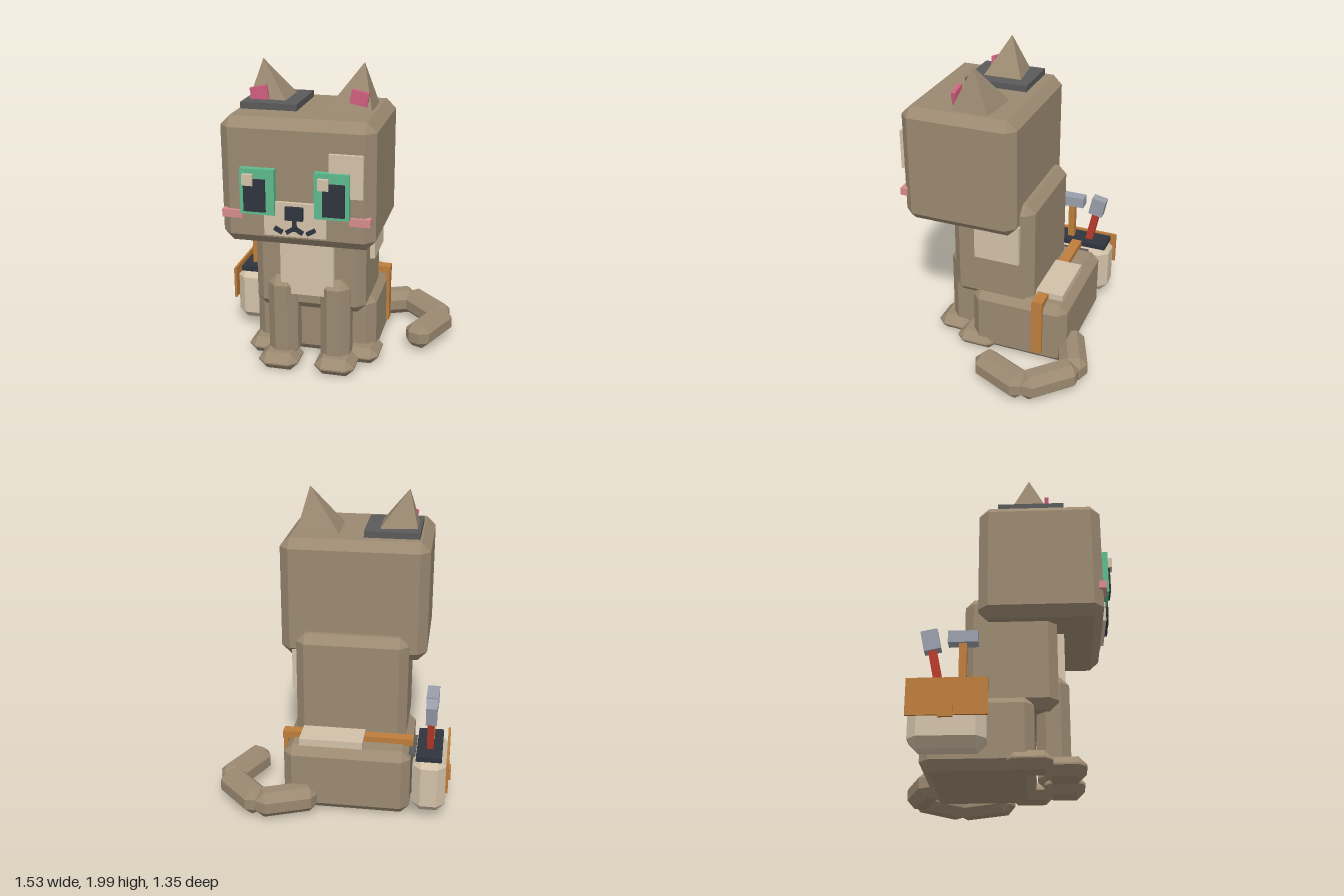
import * as THREE from 'three';
import { ConvexGeometry } from 'three/addons/geometries/ConvexGeometry.js';

const mat = (name, color) => {
  const m = new THREE.MeshStandardMaterial({ color, flatShading: true });
  m.name = name;
  return m;
};

export function createModel() {
  const model = new THREE.Group();
  model.name = 'cat';
  const fur = mat('fur', 0x9b8971), cream = mat('cream', 0xd2c1a8), green = mat('eye green', 0x5dba8c);
  const dark = mat('dark', 0x2f343e), earPink = mat('ear pink', 0xd0607e), blush = mat('blush', 0xd68c8a);
  const grey = mat('dark grey', 0x5b5a5a), leather = mat('leather', 0xbd7d3c);
  const steel = mat('steel', 0x9a9fab), red = mat('red', 0xb93a2a);
  const MID = -0.105; // mirror plane of the cat's body
  const flip = (x) => 2 * MID - x;

  function add(name, geometry, material, x = 0, y = 0, z = 0) {
    const mesh = new THREE.Mesh(geometry, material);
    mesh.name = name;
    mesh.position.set(x, y, z);
    model.add(mesh);
    return mesh;
  }
  // plain box from its limits
  const box = (name, m, [x0, x1], [y0, y1], [z0, z1]) =>
    add(name, new THREE.BoxGeometry(Math.abs(x1 - x0), y1 - y0, z1 - z0), m, (x0 + x1) / 2, (y0 + y1) / 2, (z0 + z1) / 2);
  // box with all edges and corners cut off
  function chamferGeometry(w, h, d, c) {
    const points = [];
    for (const sx of [-1, 1]) for (const sy of [-1, 1]) for (const sz of [-1, 1]) {
      const x = w / 2, y = h / 2, z = d / 2;
      points.push(new THREE.Vector3(sx * x, sy * (y - c), sz * (z - c)),
        new THREE.Vector3(sx * (x - c), sy * y, sz * (z - c)),
        new THREE.Vector3(sx * (x - c), sy * (y - c), sz * z));
    }
    return new ConvexGeometry(points);
  }
  const block = (name, m, [x0, x1], [y0, y1], [z0, z1], c = 0.055) =>
    add(name, chamferGeometry(Math.abs(x1 - x0), y1 - y0, z1 - z0, c), m, (x0 + x1) / 2, (y0 + y1) / 2, (z0 + z1) / 2);

  // body
  block('head', fur, [-0.575, 0.365], [0.95, 1.73], [-0.16, 0.6], 0.06);
  block('torso', fur, [-0.465, 0.255], [0.4, 1.13], [-0.245, 0.315]);
  block('hips', fur, [-0.51, 0.3], [0.02, 0.465], [-0.49, 0.17]);
  box('chestPatch', cream, [-0.28, 0.065], [0.53, 1.0], [0.3, 0.36]);
  box('sidePatch', cream, [0.25, 0.288], [0.73, 1.0], [-0.165, 0.14]);
  box('backPatch', cream, [-0.205, 0.2], [0.45, 0.508], [-0.44, -0.255]);

  // mirrored limbs, ears, eyes and cheeks
  for (const side of [1, -1]) {
    const mx = (...xs) => xs.map((x) => (side > 0 ? x : flip(x)));
    const label = side > 0 ? 'left' : 'right';
    block(label + 'FrontLeg', fur, mx(-0.03, 0.165), [0.06, 0.64], [0.18, 0.38], 0.055);
    block(label + 'FrontFoot', fur, mx(-0.05, 0.213), [0.01, 0.125], [0.22, 0.47], 0.052);
    block(label + 'HindFoot', fur, mx(0.11, 0.335), [0.015, 0.125], [0, 0.275], 0.05);

    const [inner, outer, tip] = mx(0, 0.285, 0.212);
    add(label + 'Ear', new ConvexGeometry([
      [inner, 1.72, 0], [inner, 1.72, 0.31], [outer, 1.72, 0.28], [outer, 1.72, 0.03], [tip, 2, 0.155],
    ].map((p) => new THREE.Vector3(...p))), fur);
    const pad = add(label + 'InnerEar', new THREE.BoxGeometry(0.108, 0.085, 0.026), earPink, mx(0.205)[0], 1.805, 0.267);
    pad.rotation.z = -side * 0.2;

    box(label + 'Eye', green, mx(0.015, 0.225), [1.16, 1.44], [0.59, 0.642]);
    box(label + 'Pupil', dark, mx(0.067, 0.2), [1.18, 1.38], [0.63, 0.655]);
    box(label + 'Cheek', blush, mx(0.22, 0.347), [1.122, 1.17], [0.572, 0.62]);

    // mouth strokes
    const stroke = (name, x, y, angle) => {
      const s = add(label + name, new THREE.BoxGeometry(0.056, 0.024, 0.03), dark, mx(x)[0], y, 0.63);
      s.rotation.z = side * angle;
    };
    stroke('InnerMouth', -0.079, 1.073, -0.55);
    stroke('OuterMouth', -0.006, 1.071, 0.5);
  }

  // face
  for (const x of [-0.413, 0.042]) box('eyeHighlight', cream, [x, x + 0.064], [1.343, 1.41], [0.64, 0.67]);
  box('muzzle', cream, [-0.295, 0.082], [1.03, 1.24], [0.59, 0.625]);
  box('nose', dark, [-0.16, -0.053], [1.14, 1.22], [0.61, 0.652]);
  box('noseLine', dark, [-0.116, -0.094], [1.07, 1.15], [0.61, 0.645]);
  box('browPatch', cream, [0.1, 0.302], [1.29, 1.55], [0.59, 0.624]);
  box('earPlate', grey, [-0.505, -0.155], [1.72, 1.77], [-0.045, 0.375]);

  // tail, segments lying along the ground
  const tail = [[0.09, -0.467, 0.46, -0.615], [0.42, -0.615, 0.705, -0.33], [0.7, -0.37, 0.535, 0.005]];
  for (const [x0, z0, x1, z1] of tail) {
    const dx = x1 - x0, dz = z1 - z0;
    const segment = add('tailSegment', chamferGeometry(0.18, 0.175, Math.hypot(dx, dz), 0.052), fur,
      (x0 + x1) / 2, 0.118, (z0 + z1) / 2);
    segment.rotation.y = Math.atan2(dx, dz);
  }

  // strap and pouch
  box('strapTop', leather, [-0.52, 0.323], [0.455, 0.502], [-0.342, -0.272]);
  box('strapSide', leather, [0.29, 0.32], [0.1, 0.48], [-0.34, -0.265]);
  box('pouchBacking', grey, [-0.538, -0.495], [0.14, 0.43], [-0.39, -0.14]);
  block('pouch', cream, [-0.74, -0.525], [0.08, 0.455], [-0.53, -0.09]);
  box('pouchRim', dark, [-0.708, -0.547], [0.44, 0.473], [-0.505, -0.118]);
  box('pouchFlap', leather, [-0.753, -0.737], [0.25, 0.47], [-0.538, -0.078]);
  box('pouchButton', leather, [-0.766, -0.75], [0.235, 0.305], [-0.355, -0.27]);

  // tools
  box('hammerHandle', leather, [-0.653, -0.607], [0.42, 0.74], [-0.255, -0.21]);
  box('hammerHead', steel, [-0.67, -0.592], [0.725, 0.798], [-0.32, -0.145]);
  const handle = add('redHandle', new THREE.BoxGeometry(0.042, 0.32, 0.05), red, -0.63, 0.55, -0.383);
  const head = add('redToolHead', new THREE.BoxGeometry(0.068, 0.128, 0.1), steel, -0.632, 0.745, -0.42);
  handle.rotation.x = head.rotation.x = -0.2;

  return model;
}
